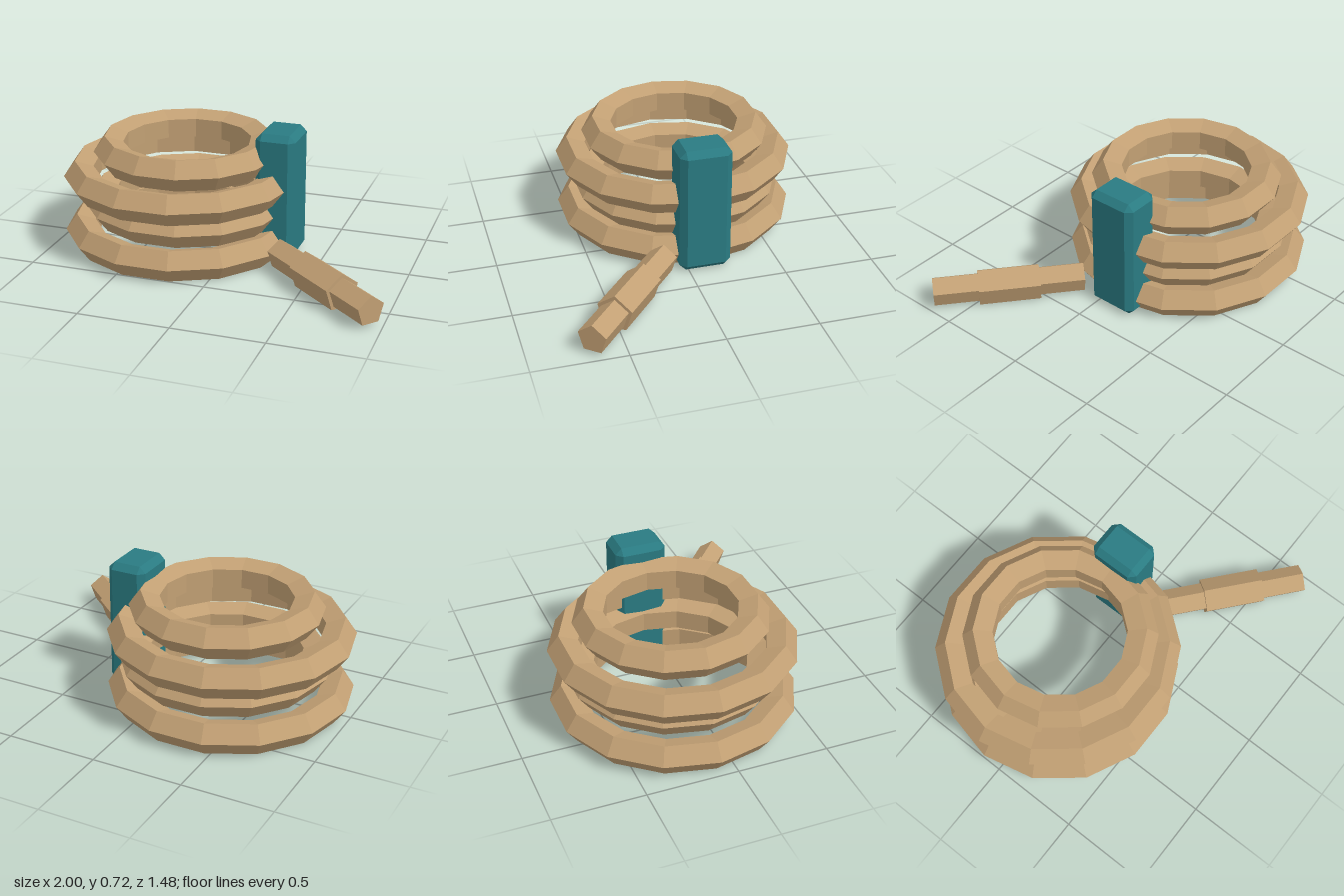
import * as THREE from 'three';
import { ConvexGeometry } from 'three/addons/geometries/ConvexGeometry.js';

const ropeMaterial = new THREE.MeshStandardMaterial({ color: 0xc2a074, flatShading: true });
const bandMaterial = new THREE.MeshStandardMaterial({ color: 0x2a7b82, flatShading: true });

function part(name, geometry, material) {
  const mesh = new THREE.Mesh(geometry, material);
  mesh.name = name;
  return mesh;
}

// Box with every edge cut by the same chamfer
function chamferedBox(w, h, d, c) {
  const points = [];
  for (const x of [-w / 2, w / 2])
    for (const y of [-h / 2, h / 2])
      for (const z of [-d / 2, d / 2]) {
        const [ix, iy, iz] = [x, y, z].map((v) => v - Math.sign(v) * c);
        points.push(
          new THREE.Vector3(x, iy, iz),
          new THREE.Vector3(ix, y, iz),
          new THREE.Vector3(ix, iy, z)
        );
      }
  return new ConvexGeometry(points);
}

// Five-sided bar lying along z with a ridge on top
function pentagonBar(radius, length) {
  return new THREE.CylinderGeometry(radius, radius, length, 5).rotateX(-Math.PI / 2);
}

export function createModel() {
  const model = new THREE.Group();
  model.name = 'ropeCoil';

  // Stacked rope loops: [centre x, height, loop radius]
  const loops = [
    [-0.333, 0.091, 0.578],
    [-0.304, 0.252, 0.491],
    [-0.333, 0.41, 0.578],
    [-0.304, 0.553, 0.434],
  ];
  loops.forEach(([x, y, radius], i) => {
    const geometry = new THREE.TorusGeometry(radius, 0.092, 5, 14).rotateX(Math.PI / 2);
    const loop = part(`ropeLoop${i + 1}`, geometry, ropeMaterial);
    loop.position.set(x, y, -0.096);
    model.add(loop);
  });

  // Upright band tying the loops together
  const band = part('band', chamferedBox(0.225, 0.72, 0.288, 0.035), bandMaterial);
  band.position.set(0.244, 0.363, -0.094);
  model.add(band);

  // Loose rope end with a thicker whipping around it
  const tail = new THREE.Group();
  tail.name = 'ropeTail';
  tail.position.set(0.626, 0.092, 0.406);
  tail.rotation.y = THREE.MathUtils.degToRad(49.5);
  tail.add(part('tailRope', pentagonBar(0.083, 0.83), ropeMaterial));
  tail.add(part('tailWhipping', pentagonBar(0.104, 0.337), ropeMaterial));
  model.add(tail);

  return model;
}
